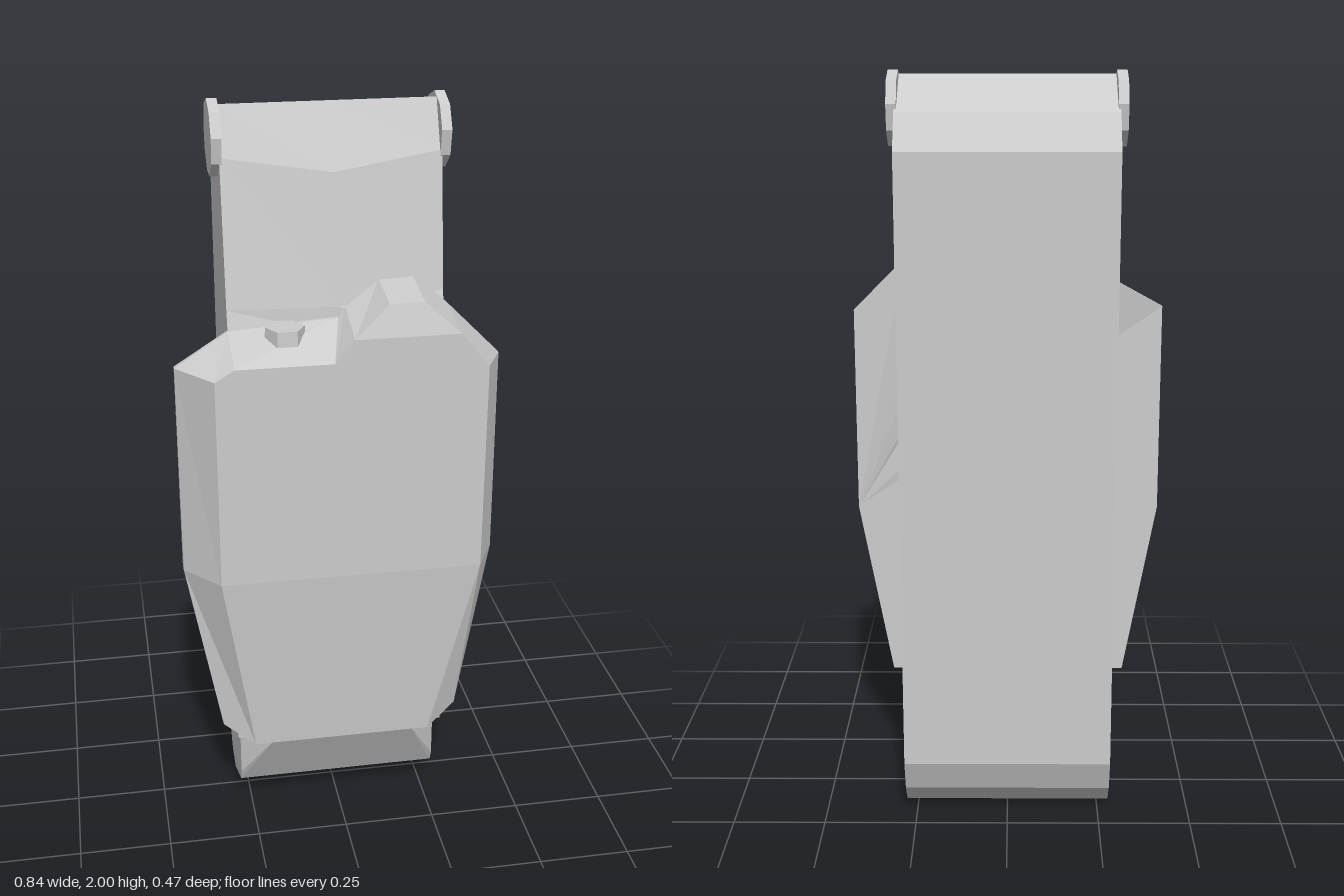
import * as THREE from 'three';
import { ConvexGeometry } from 'three/addons/geometries/ConvexGeometry.js';

const material = new THREE.MeshStandardMaterial({ color: 0xcccccc, flatShading: true });

function part(name, geometry, parent) {
  const mesh = new THREE.Mesh(geometry, material);
  mesh.name = name;
  parent.add(mesh);
  return mesh;
}

// Joins rings of [x, y, z] points; caps are lists of index polygons, fanned from their first corner
function loft(rings, startCap, endCap) {
  const n = rings[0].length;
  const pos = [];
  const fan = (pts) => {
    for (let i = 1; i < pts.length - 1; i++) pos.push(...pts[0], ...pts[i], ...pts[i + 1]);
  };
  for (let r = 0; r < rings.length - 1; r++) {
    for (let i = 0; i < n; i++) {
      const j = (i + 1) % n;
      fan([rings[r][i], rings[r][j], rings[r + 1][j], rings[r + 1][i]]);
    }
  }
  startCap.forEach((face) => fan(face.map((i) => rings[0][i])));
  endCap.forEach((face) => fan(face.map((i) => rings[rings.length - 1][i])));
  const geometry = new THREE.BufferGeometry();
  geometry.setAttribute('position', new THREE.Float32BufferAttribute(pos, 3));
  geometry.computeVertexNormals();
  return geometry;
}

// Side profile of the body at x; brow and base shape the front of the neck
function bodyRing(x, brow, base) {
  return [
    [-0.235, 0.17], [-0.235, 1.81], [-0.175, 1.9], [-0.045, 1.99],
    brow, base, [0.095, 1.43], [0.1, 0.11], [0.085, 0.075],
    [-0.08, 0], [-0.15, 0.02], [-0.2, 0.08],
  ].map(([z, y]) => [x, y, z]);
}

export function createModel() {
  const model = new THREE.Group();
  model.name = 'model';

  // Body with a slight ridge down the middle of the neck
  const body = [
    bodyRing(-0.28, [0.01, 1.87], [0.075, 1.5]),
    bodyRing(0, [0.035, 1.83], [0.09, 1.5]),
    bodyRing(0.28, [0.01, 1.87], [0.06, 1.52]),
  ];
  const around = body[0].map((_, i) => i);
  part('body', loft(body, [[0, ...around.slice(1).reverse()]], [around]), model);

  // Front plate: face outline, flared rim, back edge
  const face = [
    [-0.245, 0.26, 0.185], [-0.33, 0.8, 0.23], [-0.33, 1.37, 0.23], [-0.28, 1.4, 0.23],
    [-0.03, 1.4, 0.23], [0.02, 1.46, 0.23], [0.11, 1.54, 0.205], [0.2, 1.54, 0.205],
    [0.29, 1.46, 0.23], [0.365, 1.37, 0.23], [0.365, 0.8, 0.23], [0.245, 0.26, 0.185],
  ];
  const rim = [
    [-0.33, 0.31, 0.145], [-0.42, 0.8, 0.125], [-0.42, 1.37, 0.115], [-0.28, 1.45, 0.09],
    [0, 1.475, 0.1], [0.02, 1.5, 0.085], [0.11, 1.56, 0.065], [0.2, 1.56, 0.06],
    [0.28, 1.5, 0.1], [0.42, 1.36, 0.115], [0.42, 0.8, 0.125], [0.33, 0.31, 0.145],
  ];
  const back = rim.map(([x, y, z]) => [x, y, Math.min(z - 0.01, 0.085 + 0.011 * y)]);
  part('frontPlate', loft(
    [face, rim, back],
    [[11, 10, 1, 0], [10, 9, 8, 5, 4, 3, 2, 1], [8, 7, 6, 5]],
    [[10, 11, 0, 1, 2, 3, 4, 5, 6, 7, 8, 9]],
  ), model);

  // Lip and tapered chin below the plate
  const lip = part('lowerLip', new THREE.BoxGeometry(0.58, 0.08, 0.055), model);
  lip.position.set(0, 0.3, 0.1175);
  const chin = [];
  for (const s of [-1, 1]) {
    chin.push(
      new THREE.Vector3(0.2 * s, 0.26, 0.185), new THREE.Vector3(0.28 * s, 0.26, 0.1),
      new THREE.Vector3(0.28 * s, 0.11, 0.1), new THREE.Vector3(0.28 * s, 0.075, 0.085),
      new THREE.Vector3(0.24 * s, 0.28, 0.14), new THREE.Vector3(0.28 * s, 0.27, 0.08),
    );
  }
  part('chin', new ConvexGeometry(chin), model);

  // Six-sided knob on the low shoulder of the plate
  const knob = part('knob', new THREE.CylinderGeometry(0.05, 0.056, 0.08, 6), model);
  knob.rotation.y = Math.PI / 6;
  knob.position.set(-0.14, 1.43, 0.13);

  for (const s of [-1, 1]) {
    const side = s > 0 ? 'left' : 'right';

    // Pin disc at the top corner
    const pin = part(side + 'Pin', new THREE.CylinderGeometry(0.096, 0.096, 0.026, 9)
      .rotateX(-Math.PI / 2).rotateY(Math.PI / 2), model);
    pin.position.set(0.287 * s, 1.904, -0.07);

    // Small wedge catch on the flank
    const catchPoints = [
      [0.279, 1.07, 0.04], [0.279, 0.96, 0.02], [0.292, 1.08, -0.04],
      [0.292, 0.97, -0.04], [0.279, 1.1, -0.04], [0.279, 0.95, -0.04],
    ].map(([x, y, z]) => new THREE.Vector3(x * s, y, z));
    part(side + 'Catch', new ConvexGeometry(catchPoints), model);
  }

  return model;
}
